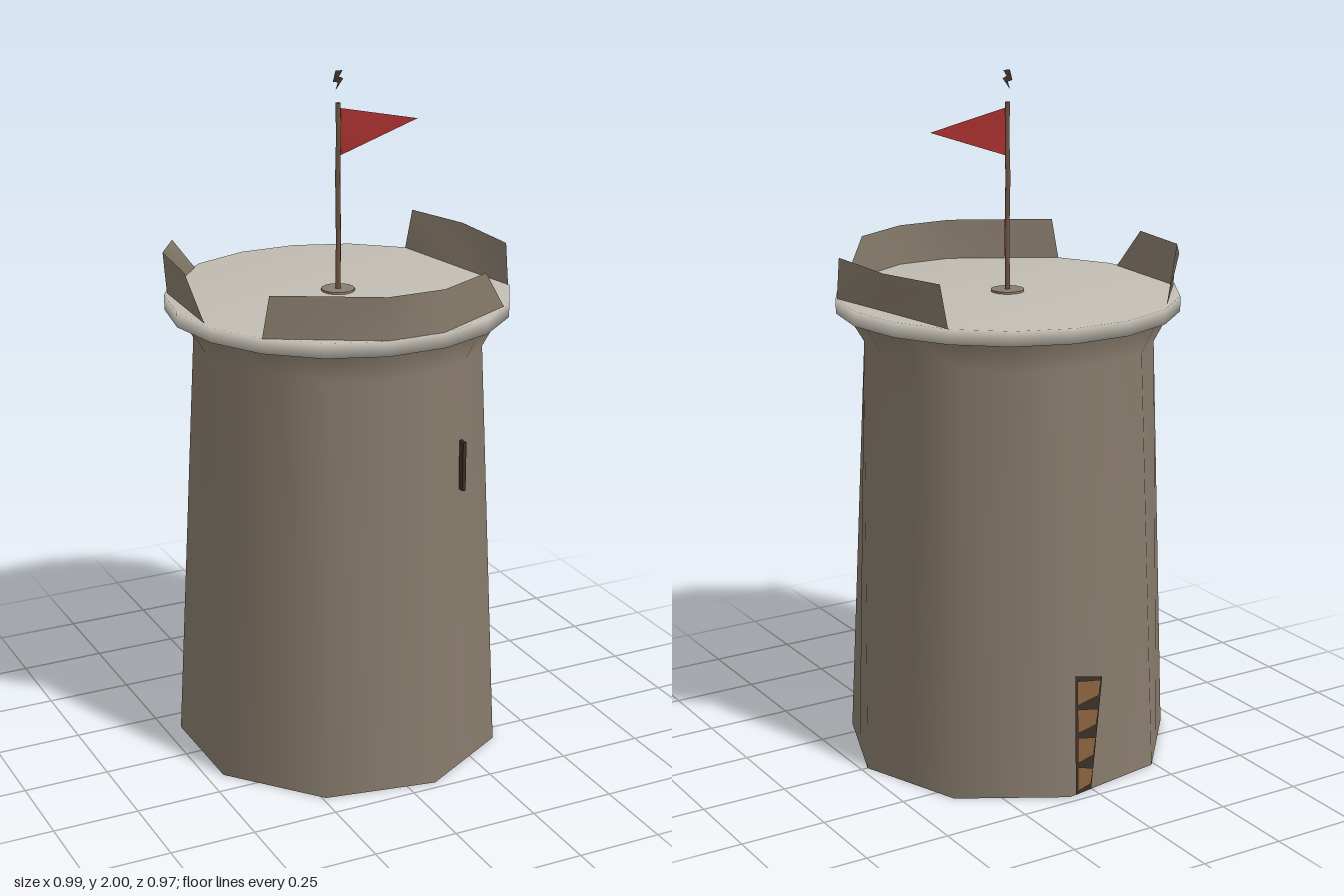
import * as THREE from 'three';

const SIDES = 18;

function material(name, color, doubleSided = false) {
  const m = new THREE.MeshStandardMaterial({ color });
  m.name = name;
  if (doubleSided) m.side = THREE.DoubleSide;
  return m;
}

function part(name, geometry, mat, parent) {
  const mesh = new THREE.Mesh(geometry, mat);
  mesh.name = name;
  parent.add(mesh);
  return mesh;
}

function indexed(points, index) {
  const g = new THREE.BufferGeometry();
  g.setAttribute('position', new THREE.Float32BufferAttribute(points.flat(), 3));
  g.setIndex(index);
  g.computeVertexNormals();
  return g;
}

// One ring of the tower wall
function ring(y, rx, rz, oddScale = 1) {
  return Array.from({ length: SIDES }, (_, k) => {
    const a = (k / SIDES) * Math.PI * 2;
    const s = k % 2 ? oddScale : 1;
    return [rx * s * Math.cos(a), y, rz * s * Math.sin(a)];
  });
}

// Closed loft through a stack of rings
function loft(rings) {
  const index = [];
  for (let r = 0; r < rings.length - 1; r++) {
    for (let k = 0; k < SIDES; k++) {
      const n = (k + 1) % SIDES;
      const a = r * SIDES + k, b = r * SIDES + n;
      index.push(a, a + SIDES, b + SIDES, a, b + SIDES, b);
    }
  }
  return indexed(rings.flat(), index);
}

// Standing strip between a bottom and a top line of [x, z] points
function wallStrip(bottom, top, y0, y1) {
  const n = bottom.length;
  const points = [
    ...bottom.map(([x, z]) => [x, y0, z]),
    ...top.map(([x, z]) => [x, y1, z]),
  ];
  const index = [];
  for (let i = 0; i < n - 1; i++) {
    index.push(i, n + i, n + i + 1, i, n + i + 1, i + 1);
  }
  return indexed(points, index);
}

function flatShape(points) {
  return new THREE.ShapeGeometry(new THREE.Shape(points.map(([x, y]) => new THREE.Vector2(x, y))));
}

export function createModel() {
  const model = new THREE.Group();
  model.name = 'watchtower';

  const stone = material('stone', 0x887c6c);
  const thinStone = material('parapet stone', 0x887c6c, true);
  const paleStone = material('pale stone', 0xc2bdb3);
  const wood = material('pole wood', 0x6e5442);
  const plank = material('door wood', 0x87623c, true);
  const dark = material('dark', 0x3a3028, true);
  const red = material('flag red', 0xa32f2e, true);

  // Tapered wall: nine-sided foot, rounder top, flare under the rim
  const foot = ring(0, 0.48, 0.48, Math.cos(Math.PI / 9));
  part('towerWall', loft([foot, ring(1.24, 0.412, 0.437), ring(1.335, 0.47, 0.475)]), stone, model);
  const baseIndex = [];
  for (let k = 0; k < SIDES; k++) baseIndex.push(SIDES, k, (k + 1) % SIDES);
  part('towerBase', indexed([...foot, [0, 0, 0]], baseIndex), stone, model);

  // Rim and roof floor
  const rim = [[0.45, 1.327], [0.495, 1.327], [0.495, 1.37], [0, 1.37]];
  part('rimAndFloor', new THREE.LatheGeometry(
    rim.map(([x, y]) => new THREE.Vector2(x, y)), SIDES, Math.PI / 2), paleStone, model);

  // Three thin parapet pieces, the back left open
  const parapets = {
    frontParapet: [
      [[-0.38, 0.32], [-0.085, 0.483], [0.085, 0.483], [0.345, 0.345]],
      [[-0.362, 0.33], [-0.085, 0.48], [0.085, 0.48], [0.26, 0.392]],
    ],
    leftParapet: [
      [[0.463, 0.165], [0.433, 0], [0.38, -0.315]],
      [[0.462, 0.15], [0.458, -0.1], [0.395, -0.3]],
    ],
    rightParapet: [
      [[-0.28, -0.39], [-0.45, -0.185], [-0.465, 0.125]],
      [[-0.385, -0.3], [-0.46, -0.185], [-0.482, 0.03]],
    ],
  };
  for (const [name, [bottom, top]] of Object.entries(parapets)) {
    part(name, wallStrip(bottom, top, 1.37, 1.49), thinStone, model);
  }

  // Flagpole with its footing
  part('poleFooting', new THREE.CylinderGeometry(0.048, 0.048, 0.006, 16), stone, model)
    .position.y = 1.373;
  const polePath = new THREE.CatmullRomCurve3([
    [0, 1.37, 0], [0, 1.55, 0.002], [0, 1.72, -0.002], [0, 1.8, 0.003], [0, 1.91, 0],
  ].map((p) => new THREE.Vector3(...p)));
  part('flagPole', new THREE.TubeGeometry(polePath, 10, 0.008, 6), wood, model);
  part('poleTip', new THREE.CircleGeometry(0.008, 6).rotateX(-Math.PI / 2), wood, model)
    .position.y = 1.91;

  // Pennant with a gentle fold
  part('flag', indexed(
    [[0.005, 1.895, 0], [0.005, 1.76, 0], [0.1, 1.83, 0.006], [0.25, 1.843, 0]],
    [0, 1, 2, 0, 2, 3, 1, 3, 2]), red, model);

  // Small zigzag finial above the pole
  part('finial', flatShape([
    [-0.008, 2], [0.014, 2], [0.003, 1.983], [0.016, 1.977], [-0.008, 1.945],
    [-0.001, 1.967], [-0.016, 1.97],
  ]), dark, model);

  // Arrow slit on the front
  part('arrowSlit', new THREE.BoxGeometry(0.01, 0.145, 0.026), dark, model)
    .position.set(0.193, 0.94, 0.399);

  // Narrow back door, wider at the top, with uneven planks
  const door = new THREE.Group();
  door.name = 'backDoor';
  door.position.set(0.015, 0.003, -0.466);
  door.rotation.order = 'YXZ';
  door.rotation.set(-0.02, Math.atan2(-0.177, -0.984), 0);
  model.add(door);
  const right = (y) => 0.01 + 0.045 * (y / 0.36);
  part('doorway', flatShape([[-0.05, 0], [right(0), 0], [right(0.36), 0.33], [-0.05, 0.36]]), dark, door);
  const cuts = [0.005, 0.09, 0.18, 0.265, 0.35];
  for (let i = 0; i < 4; i++) {
    const y0 = cuts[i] + 0.006, y1 = cuts[i + 1] - 0.006;
    const drop = 0.02;
    part('doorPlank', flatShape([
      [-0.045, y0], [right(y0) - 0.006, y0 + 0.008],
      [right(y1) - 0.006, y1 - drop], [-0.045, y1],
    ]), plank, door).position.z = 0.004;
  }

  return model;
}
